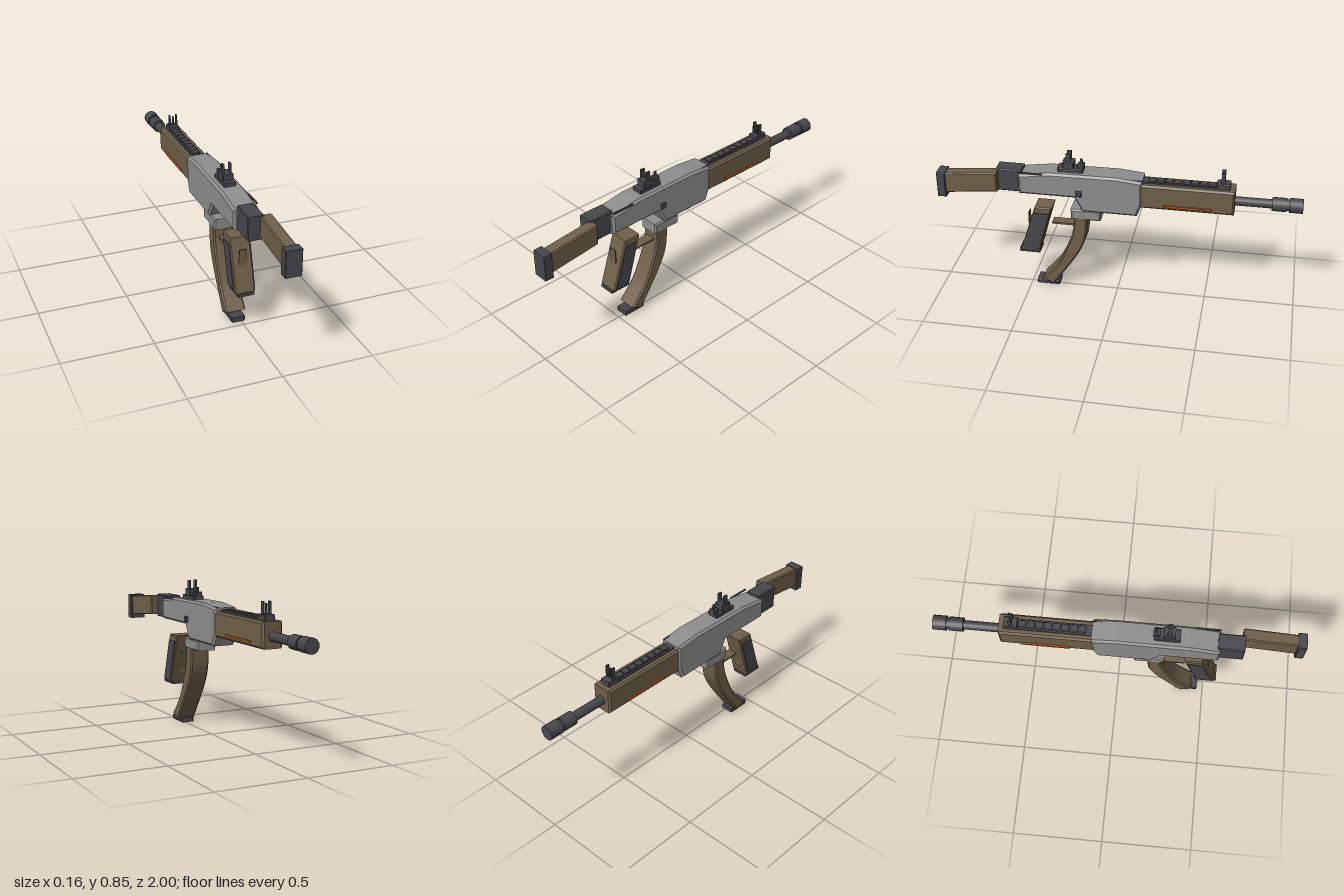
import * as THREE from 'three';

const mat = (name, color) => Object.assign(new THREE.MeshStandardMaterial({ color }), { name });

export function createModel() {
  const grey = mat('receiver grey', 0x8e8e8e);
  const dark = mat('dark steel', 0x47464d);
  const brown = mat('furniture brown', 0x6f6049);
  const orange = mat('orange accent', 0xb8581f);
  const root = new THREE.Group();
  root.name = 'rifle';
  const CX = -0.015; // centre line of the rifle

  const add = (name, geo, material) => {
    const m = new THREE.Mesh(geo, material);
    m.name = name;
    root.add(m);
    return m;
  };

  // Side profile of (z, y) points, extruded across x with a small chamfer
  const slab = (name, pts, x0, x1, material, b = 0) => {
    const shape = new THREE.Shape(pts.map(([z, y]) => new THREE.Vector2(z, y)));
    const geo = new THREE.ExtrudeGeometry(shape, {
      depth: x1 - x0 - 2 * b, steps: 1, bevelEnabled: b > 0,
      bevelSize: b, bevelThickness: b, bevelOffset: -b, bevelSegments: 1,
    });
    geo.rotateY(-Math.PI / 2);
    geo.translate(x1 - b, 0, 0);
    return add(name, geo, material);
  };

  // Chamfered block given by its limits
  const block = (name, x0, x1, y0, y1, z0, z1, material, b = 0) =>
    slab(name, [[z0, y0], [z1, y0], [z1, y1], [z0, y1]], x0, x1, material, b);

  // Receiver
  slab('receiver', [
    [0.545, 0.6], [0.545, 0.715], [0.38, 0.739], [0, 0.742], [-0.14, 0.728],
    [-0.14, 0.59], [-0.113, 0.517], [0.19, 0.517], [0.235, 0.6],
  ], -0.083, 0.051, grey, 0.012);
  block('magazineWell', -0.072, 0.042, 0.46, 0.523, 0.09, 0.257, grey, 0.008);
  block('boltButton', 0.045, 0.062, 0.615, 0.647, 0.19, 0.223, dark, 0.003);
  block('rearTopStrip', 0.042, 0.05, 0.726, 0.733, 0.41, 0.54, dark);
  block('frontTopStrip', 0.03, 0.036, 0.727, 0.733, -0.14, -0.05, dark);

  // Stock
  block('stockMount', -0.062, 0.028, 0.6, 0.733, 0.53, 0.673, dark, 0.005);
  slab('stock', [[0.66, 0.612], [0.96, 0.58], [0.96, 0.7], [0.66, 0.728]],
    0.005, 0.071, brown, 0.006);
  block('buttPlate', -0.01, 0.081, 0.558, 0.705, 0.951, 1, dark, 0.004);

  // Handguard, its accents and the ribbed cover on top
  block('handguard', -0.074, 0.044, 0.57, 0.71, -0.638, -0.12, brown, 0.01);
  for (const s of [-1, 1]) {
    const x = CX + s * 0.062;
    block('handguardAccent', x - 0.006, x + 0.006, 0.59, 0.601, -0.52, -0.255, orange);
  }
  block('topRail', -0.045, 0.015, 0.7, 0.718, -0.6, -0.13, dark);
  for (let i = 0; i < 8; i++) {
    const z = -0.17 - i * 0.046;
    block('railRib', -0.036, 0.006, 0.715, 0.727, z - 0.04, z, dark, 0.003);
  }

  // Front sight
  block('frontSightBase', -0.046, 0.016, 0.705, 0.74, -0.61, -0.537, dark, 0.004);
  for (const x of [-0.035, 0.005])
    block('frontSightWing', x - 0.004, x + 0.004, 0.735, 0.805, -0.58, -0.56, dark);
  block('frontSightPost', CX - 0.004, CX + 0.004, 0.735, 0.795, -0.576, -0.564, dark);

  // Rear sight
  block('rearSightBase', -0.049, 0.018, 0.73, 0.762, 0.19, 0.33, dark, 0.004);
  block('rearSightBlock', -0.046, 0.015, 0.755, 0.798, 0.24, 0.302, dark, 0.004);
  for (const x of [-0.035, 0.005])
    block('rearSightWing', x - 0.005, x + 0.005, 0.79, 0.847, 0.258, 0.283, dark);
  block('rearSightStep', -0.035, 0.005, 0.755, 0.785, 0.185, 0.222, dark, 0.003);
  block('rearSightPost', CX - 0.005, CX + 0.005, 0.78, 0.812, 0.195, 0.208, dark);

  // Barrel and muzzle device
  const tube = (name, r, z0, z1) => {
    const geo = new THREE.CylinderGeometry(r, r, z1 - z0, 20);
    geo.rotateX(Math.PI / 2);
    geo.translate(CX, 0.633, (z0 + z1) / 2);
    add(name, geo, dark);
  };
  tube('barrel', 0.025, -0.85, -0.6);
  tube('muzzleCollar', 0.038, -0.913, -0.835);
  tube('muzzleNeck', 0.032, -0.935, -0.905);
  tube('muzzleTip', 0.04, -1, -0.927);

  // Curved magazine
  const edge = (pts) => new THREE.SplineCurve(pts.map(([z, y]) => new THREE.Vector2(z, y)))
    .getPoints(14).map((p) => [p.x, p.y]);
  const fore = edge([[0.165, 0.475], [0.176, 0.34], [0.22, 0.235], [0.29, 0.125], [0.368, 0.012]]);
  const aft = edge([[0.43, 0.045], [0.342, 0.15], [0.288, 0.26], [0.248, 0.38], [0.24, 0.475]]);
  slab('magazine', [...fore, ...aft], -0.071, 0.041, brown, 0.008);
  block('magazineBase', -0.055, 0.024, 0, 0.029, 0.337, 0.466, dark, 0.005);

  // Grip with dark side panels
  slab('grip', [[0.365, 0.515], [0.462, 0.515], [0.552, 0.23], [0.445, 0.23]],
    -0.072, 0.041, brown, 0.006);
  for (const x of [-0.076, 0.037])
    slab('gripSidePanel', [[0.385, 0.48], [0.464, 0.48], [0.535, 0.245], [0.453, 0.245]],
      x, x + 0.008, dark);
  block('gripBase', -0.063, 0.034, 0.214, 0.231, 0.443, 0.562, dark, 0.004);
  block('gripRearFin', CX - 0.02, CX + 0.02, 0.35, 0.46, 0.502, 0.508, brown);
  block('gripFrontFin', CX - 0.02, CX + 0.02, 0.29, 0.365, 0.422, 0.428, brown);

  // Bar between the magazine and the grip
  block('guardBar', CX - 0.028, CX + 0.028, 0.404, 0.415, 0.23, 0.37, brown);

  return root;
}
